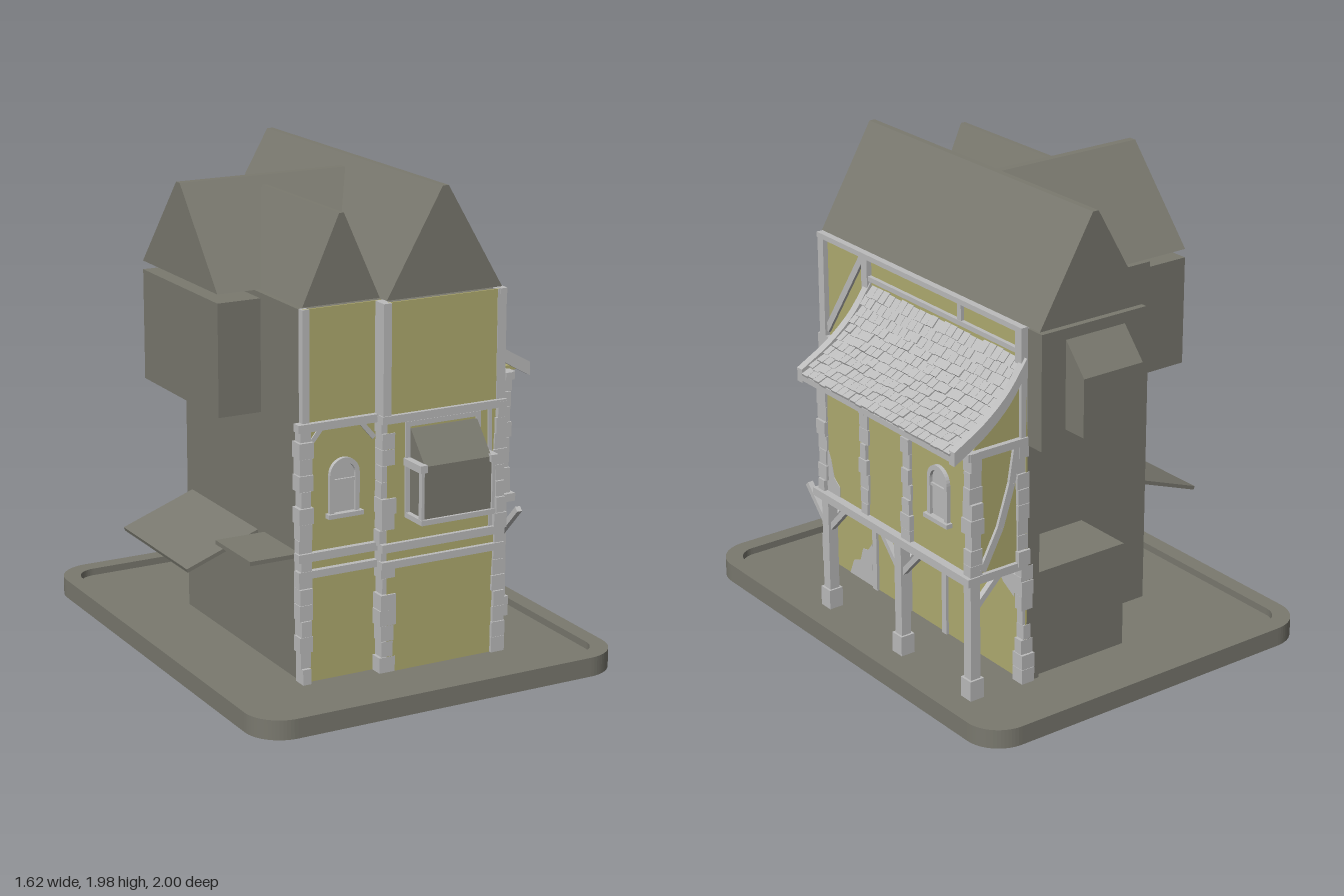
import * as THREE from 'three';
import { mergeGeometries } from 'three/addons/utils/BufferGeometryUtils.js';

const paint = (name, color) => Object.assign(new THREE.MeshStandardMaterial({ color }), { name });

export function createModel() {
  const root = new THREE.Group();
  root.name = 'timberHouse';
  const slate = paint('slate grey', 0x7a796f);
  const plaster = paint('ochre plaster', 0xb0ac70);
  const pale = paint('pale timber and stone', 0xbcbcbc);

  let seed = 7;
  const rnd = () => (seed = (seed * 16807) % 2147483647) / 2147483647;
  const jit = (a) => (rnd() - 0.5) * 2 * a;

  const add = (name, geo, mat, parent = root) => {
    const m = new THREE.Mesh(geo, mat);
    m.name = name;
    parent.add(m);
    return m;
  };
  const boxGeo = (x0, x1, y0, y1, z0, z1) =>
    new THREE.BoxGeometry(x1 - x0, y1 - y0, z1 - z0).translate((x0 + x1) / 2, (y0 + y1) / 2, (z0 + z1) / 2);
  const box = (name, mat, ...b) => add(name, boxGeo(...b), mat);
  const shapeOf = (pts) => new THREE.Shape(pts.map((p) => new THREE.Vector2(...p)));
  const extrude = (shape, depth) => new THREE.ExtrudeGeometry(shape, { depth, bevelEnabled: false, curveSegments: 8 });
  // profile in (x, y) swept along z
  const prismZ = (name, mat, pts, z0, z1) => add(name, extrude(shapeOf(pts), z1 - z0).translate(0, 0, z0), mat);
  // profile in (z, y) swept along x
  const prismX = (name, mat, pts, x0, x1) =>
    add(name, extrude(shapeOf(pts.map(([z, y]) => [-z, y])), x1 - x0).rotateY(Math.PI / 2).translate(x0, 0, 0), mat);
  // square timber between two points
  const beam = (name, a, b, w = 0.03, d = w) => {
    const A = new THREE.Vector3(...a), B = new THREE.Vector3(...b);
    const m = add(name, new THREE.BoxGeometry(w, A.distanceTo(B), d), pale);
    m.position.copy(A).add(B).multiplyScalar(0.5);
    m.quaternion.setFromUnitVectors(new THREE.Vector3(0, 1, 0), B.sub(A).normalize());
  };
  // column of uneven stones
  const quoins = (x, z, y0, y1, w = 0.05) => {
    const n = Math.round((y1 - y0) / 0.065), h = (y1 - y0) / n, parts = [];
    for (let i = 0; i < n; i++) {
      const hx = w / 2 + jit(0.007), hz = w / 2 + jit(0.007);
      parts.push(boxGeo(x - hx, x + hx, y0 + i * h, y0 + (i + 0.97) * h, z - hz, z + hz));
    }
    add('stoneColumn', mergeGeometries(parts), pale);
  };

  // base tray with raised rim
  const rounded = (X, Z, r) => {
    const s = new THREE.Shape();
    s.absarc(X - r, Z - r, r, 0, Math.PI / 2);
    s.absarc(r - X, Z - r, r, Math.PI / 2, Math.PI);
    s.absarc(r - X, r - Z, r, Math.PI, Math.PI * 1.5);
    s.absarc(X - r, r - Z, r, Math.PI * 1.5, Math.PI * 2);
    return s;
  };
  add('baseFloor', extrude(rounded(0.81, 1, 0.15), 0.05).rotateX(-Math.PI / 2), slate);
  const rim = rounded(0.81, 1, 0.15);
  rim.holes.push(rounded(0.74, 0.93, 0.09));
  add('baseRim', extrude(rim, 0.03).rotateX(-Math.PI / 2).translate(0, 0.05, 0), slate);

  // house bodies
  box('leftBody', slate, -0.44, 0, 0.05, 1.545, -0.4, 0.62);
  box('mainBody', slate, -0.1, 0.4, 0.05, 1.1, -0.4, 0.675);
  box('mainUpperFloor', slate, -0.105, 0.4, 1.07, 1.545, -0.775, 0.675);
  box('leftUpperFloor', slate, -0.625, -0.1, 1.065, 1.522, -0.4, 0.28);
  box('rearSideWall', slate, 0.34, 0.4, 0.05, 1.08, -0.69, -0.4);
  box('rearShed', slate, -0.105, 0.34, 0.05, 0.5, -0.67, -0.4);

  // plaster faces
  box('frontLeftPlaster', plaster, -0.44, -0.1, 0.05, 1.55, 0.62, 0.627);
  box('frontMainPlaster', plaster, -0.1, 0.407, 0.05, 1.55, 0.675, 0.682);
  box('rightPlaster', plaster, 0.4, 0.407, 0.05, 1.55, -0.69, 0.68);
  box('jettyRoom', plaster, 0.405, 0.655, 0.56, 1.09, -0.68, 0.34);
  prismZ('jettyGable', plaster, [[0.405, 1.08], [0.66, 1.08], [0.6, 1.18], [0.5, 1.28], [0.405, 1.38]], -0.675, 0.335);

  // roofs with narrow flat ridges
  prismZ('mainRoof', slate, [[-0.105, 1.558], [0.41, 1.558], [0.163, 1.98], [0.137, 1.98]], -0.775, 0.68);
  prismZ('frontGableRoof', slate, [[-0.44, 1.558], [-0.105, 1.558], [-0.262, 1.905], [-0.282, 1.905]], -0.005, 0.625);
  prismX('crossRoof', slate, [[-0.4, 1.558], [0.28, 1.558], [-0.042, 1.937], [-0.075, 1.937]], -0.625, 0.11);

  // bays and awnings
  prismX('frontBay', slate, [[0.68, 0.7], [0.8, 0.7], [0.8, 0.915], [0.69, 1.04], [0.68, 1.04]], 0, 0.3);
  prismX('rearBay', slate, [[-0.77, 1.135], [-0.885, 1.135], [-0.885, 1.375], [-0.77, 1.505]], 0, 0.285);
  prismZ('sideAwning', slate, [[-0.43, 0.575], [-0.755, 0.455], [-0.75, 0.44], [-0.43, 0.558]], -0.355, 0.245);
  box('flatAwning', slate, -0.655, -0.43, 0.56, 0.577, 0.3, 0.6);

  // front bay trim
  box('baySill', pale, -0.02, 0.315, 0.682, 0.703, 0.68, 0.812);
  for (const x of [-0.012, 0.307]) {
    box('bayPost', pale, x - 0.01, x + 0.01, 0.7, 1.06, 0.68, 0.69);
    box('baySideFrame', pale, x - 0.006, x + 0.006, 0.7, 0.91, 0.785, 0.808);
    box('bayCap', pale, x - 0.016, x + 0.016, 0.895, 0.925, 0.68, 0.815);
  }
  box('bayHead', pale, -0.022, 0.317, 1.05, 1.07, 0.68, 0.69);

  // stone columns at corners
  quoins(-0.435, 0.62, 0.05, 1.1);
  quoins(-0.095, 0.655, 0.05, 1.1, 0.06);
  quoins(0.41, 0.67, 0.05, 1.1);
  quoins(0.4, -0.67, 0.05, 0.56);
  for (const z of [0.33, 0.03, -0.265, -0.67]) quoins(0.645, z, 0.57, 1.09);
  quoins(0.42, -0.67, 0.57, 1.09);

  // upper corner posts
  beam('upperPost', [-0.43, 1.09, 0.62], [-0.43, 1.55, 0.62]);
  beam('upperPost', [-0.108, 1.09, 0.66], [-0.108, 1.55, 0.66], 0.035, 0.07);
  for (const z of [0.665, 0.35, -0.67]) beam('upperPost', [0.41, 1.09, z], [0.41, 1.55, z], 0.04);
  beam('shortPost', [0.41, 1.46, -0.285], [0.41, 1.54, -0.285], 0.025);
  box('topPlate', pale, 0.4, 0.43, 1.53, 1.552, -0.69, 0.69);
  box('lowerPlate', pale, 0.4, 0.425, 1.44, 1.46, -0.66, 0.34);
  beam('upperBrace', [0.407, 1.13, 0.65], [0.407, 1.53, 0.38], 0.025, 0.03);

  // horizontal beams round front, side and jetty
  for (const [y, h] of [[0.5, 0.03], [0.57, 0.034], [1.09, 0.032]]) {
    const a = y - h / 2, b = y + h / 2;
    box('frontLeftBeam', pale, -0.47, -0.1, a, b, 0.61, 0.65);
    box('frontMainBeam', pale, -0.13, 0.43, a, b, 0.665, 0.7);
    box('sideBeam', pale, 0.39, 0.43, a, b, y > 0.55 ? 0.34 : -0.69, 0.7);
    if (y < 0.55) continue;
    box('jettySideBeam', pale, 0.635, y > 1 ? 0.675 : 0.69, a, b, -0.7, 0.37);
    for (const z of [0.335, -0.675]) box('jettyEndBeam', pale, 0.4, 0.685, a, b, z - 0.022, z + 0.022);
  }
  for (const z of [0.03, -0.19]) box('floorJoist', pale, 0.4, 0.66, 0.54, 0.565, z - 0.015, z + 0.015);

  // curved braces on both jetty ends
  for (const z of [0.343, -0.683]) {
    const pts = [[0.45, 1.08], [0.475, 0.93], [0.53, 0.76], [0.615, 0.6]];
    for (let i = 0; i < 3; i++) beam('jettyBrace', [...pts[i], z], [...pts[i + 1], z], 0.03, 0.02);
  }
  // small corner braces on the front
  beam('cornerBrace', [-0.41, 1.02, 0.627], [-0.36, 1.08, 0.627], 0.02, 0.012);
  beam('cornerBrace', [-0.13, 1.01, 0.627], [-0.19, 1.08, 0.627], 0.02, 0.012);
  beam('bayPostBeam', [0.37, 0.58, 0.682], [0.36, 1.08, 0.682], 0.015, 0.012);

  // jetty posts with braces
  for (const z of [0.325, -0.19, -0.655]) {
    beam('jettyPost', [0.64, 0.05, z], [0.64, 0.56, z], 0.045);
    box('postFoot', pale, 0.608, 0.672, 0.05, 0.135, z - 0.032, z + 0.032);
    for (const s of [-1, 1]) {
      if (Math.abs(z + s * 0.15) < 0.5) beam('postBrace', [0.64, 0.4, z], [0.64, 0.555, z + s * 0.15], 0.024);
    }
    beam('crossBrace', [0.64, 0.42, z], [0.5, 0.56, z], 0.024);
  }
  for (const z of [0.33, 0.09, -0.165, -0.38]) beam('wallStud', [0.407, 0.05, z], [0.407, 0.5, z], 0.025, 0.03);

  // loose stones and bare patches on the right wall
  const stones = [[0.54, 0.945, 0.04, 0.013], [0.46, 0.672, 0.022, 0.016], [0.45, 1.163, 0.04, 0.023],
    [-0.32, 0.455, 0.04, 0.014], [-0.335, 0.418, 0.022, 0.013]];
  for (const [z, y, w, h] of stones) box('looseStone', pale, 0.4, 0.42, y - h, y + h, z - w, z + w);
  const patch = (pts, x) => prismX('barePatch', pale, pts, x, x + 0.004);
  patch([[0.53, 0.05], [0.36, 0.05], [0.36, 0.25], [0.39, 0.21], [0.43, 0.2], [0.45, 0.14], [0.5, 0.12]], 0.406);
  patch([[0.31, 0.58], [0.22, 0.58], [0.22, 0.63], [0.26, 0.66], [0.28, 0.73], [0.31, 0.79]], 0.654);
  patch([[-0.5, 0.5], [-0.62, 0.5], [-0.62, 0.4], [-0.55, 0.44]], 0.406);

  // arched window facing +z, origin at centre of the sill
  const arch = (w, h) => {
    const s = new THREE.Shape();
    s.moveTo(-w, 0);
    s.lineTo(w, 0);
    s.lineTo(w, h - w);
    s.absarc(0, h - w, w, 0, Math.PI);
    return s;
  };
  const archWindow = (x, y, z, turn) => {
    const g = new THREE.Group();
    g.name = 'archedWindow';
    const frame = arch(0.065, 0.225);
    frame.holes.push(arch(0.046, 0.205));
    add('windowFrame', extrude(frame, 0.018), pale, g);
    add('windowPane', extrude(arch(0.046, 0.205), 0.005), pale, g);
    add('windowBar', boxGeo(-0.05, 0.05, 0.128, 0.14, 0, 0.014), pale, g);
    add('windowSill', boxGeo(-0.077, 0.077, -0.012, 0.006, 0, 0.03), pale, g);
    g.position.set(x, y, z);
    g.rotation.y = turn;
    root.add(g);
  };
  archWindow(-0.265, 0.725, 0.626, 0);
  archWindow(0.654, 0.755, -0.475, Math.PI / 2);

  // curved lean-to roof: sheet, verge boards and tiles
  const curve = new THREE.CatmullRomCurve3([[0.415, 1.41], [0.5, 1.295], [0.61, 1.2], [0.755, 1.115]]
    .map(([x, y]) => new THREE.Vector3(x, y, 0)));
  const strip = (up, down) => {
    const pts = curve.getPoints(10);
    return [...pts.map((p) => [p.x, p.y + down]), ...pts.reverse().map((p) => [p.x, p.y + up])];
  };
  prismZ('leanToSheet', pale, strip(0, -0.025), -0.68, 0.34);
  for (const z of [0.325, -0.705]) prismZ('vergeBoard', pale, strip(0.022, -0.035), z, z + 0.035);
  const tiles = [], rows = 11, cols = 24, pitch = 1 / cols;
  for (let r = 0; r < rows; r++) {
    const u = (r + 0.5) / rows, p = curve.getPointAt(u), t = curve.getTangentAt(u);
    for (let c = 0; c < cols; c++) {
      const z = -0.675 + (c + 0.5 + (r % 2 ? 0.2 : -0.2)) * pitch;
      tiles.push(new THREE.BoxGeometry(0.05 + jit(0.005), 0.011, pitch * 0.93)
        .rotateZ(Math.atan2(t.y, t.x) + 0.12 + jit(0.04))
        .translate(p.x, p.y + 0.007 + jit(0.003), z));
    }
  }
  add('roofTiles', mergeGeometries(tiles), pale);
  for (let i = 0; i < 12; i++) {
    const z = -0.62 + i * 0.08;
    box('rafterEnd', plaster, 0.65, 0.74, 1.088, 1.108, z - 0.018, z + 0.018);
  }
  return root;
}
